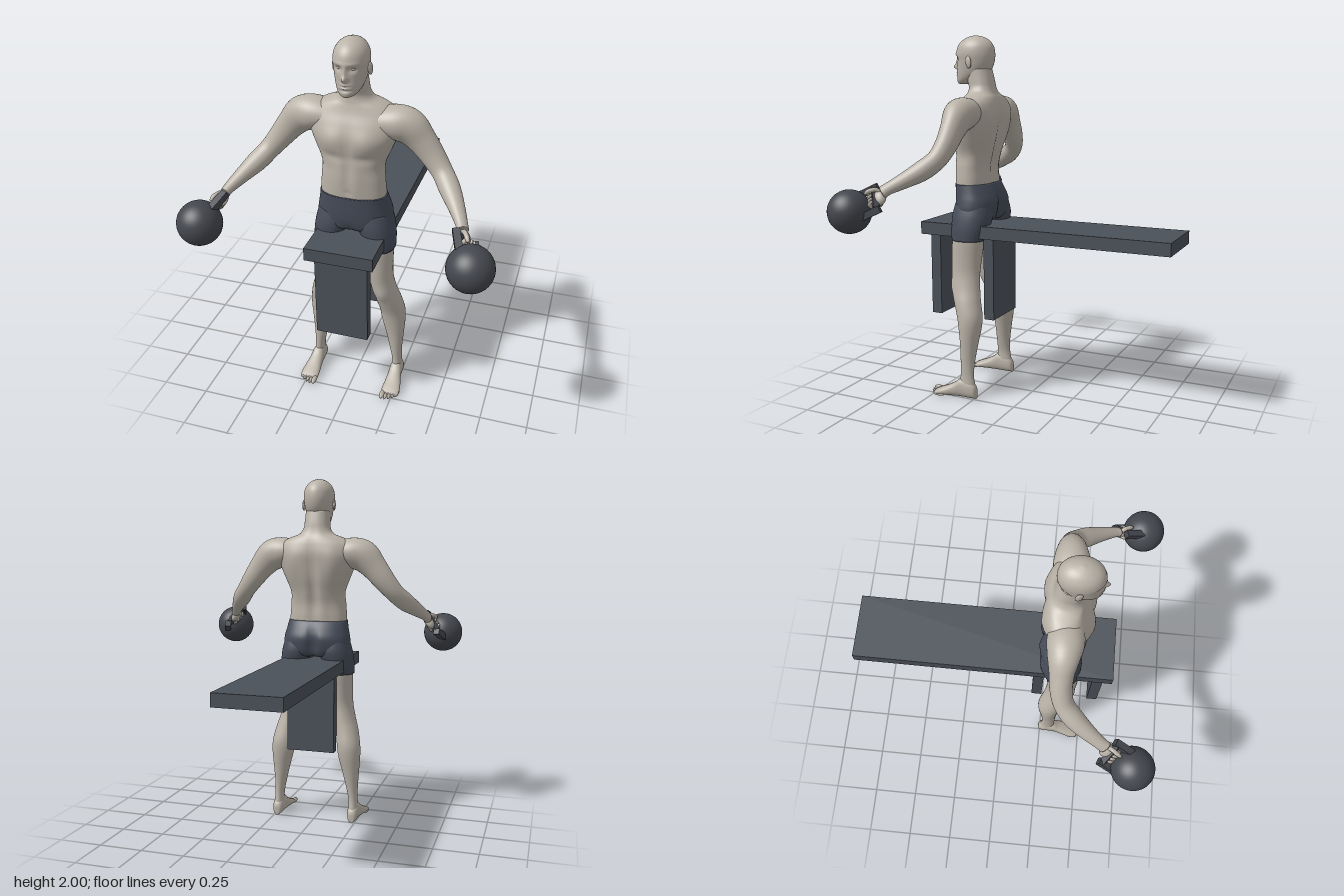
import * as THREE from 'three';

const mat = (name, color) => {
  const m = new THREE.MeshStandardMaterial({ color });
  m.name = name;
  return m;
};
const V = (x, y, z) => new THREE.Vector3(x, y, z);
const bump = (d, s) => Math.exp(-(d * d) / (s * s));

// Catmull-Rom interpolation of whole rows of numbers
function refine(rows, steps) {
  const out = [], last = rows.length - 1;
  for (let i = 0; i < last; i++) {
    const a = rows[Math.max(i - 1, 0)], b = rows[i], c = rows[i + 1], d = rows[Math.min(i + 2, last)];
    for (let s = 0; s < steps; s++) {
      const t = s / steps;
      out.push(b.map((_, k) => b[k] + 0.5 * t * (c[k] - a[k] + t * (2 * a[k] - 5 * b[k] + 4 * c[k] - d[k]
        + t * (3 * (b[k] - c[k]) + d[k] - a[k])))));
    }
  }
  out.push(rows[last]);
  return out;
}

// Closed skin over rings [x, y, z, radiusU, radiusV]; without axes the rings follow the path
function loft(rows, { axes, n = 32, steps = 5, power = 2, deform } = {}) {
  const rings = refine(rows, steps), pos = [], idx = [];
  const centres = rings.map(r => V(r[0], r[1], r[2]));
  const curve = (c, e) => Math.sign(c) * Math.pow(Math.abs(c), e);
  rings.forEach((r, i) => {
    let [u, v] = axes || [];
    if (!axes) {
      const t = centres[Math.min(i + 1, centres.length - 1)].clone().sub(centres[Math.max(i - 1, 0)]).normalize();
      u = V(0, 0, 1).cross(t).normalize();
      v = t.clone().cross(u);
    }
    for (let j = 0; j < n; j++) {
      const a = (j / n) * Math.PI * 2;
      const p = centres[i].clone()
        .addScaledVector(u, r[3] * curve(Math.cos(a), 2 / power))
        .addScaledVector(v, r[4] * curve(Math.sin(a), 2 / power));
      if (deform) deform(p, centres[i]);
      pos.push(p.x, p.y, p.z);
    }
  });
  for (let i = 0; i < rings.length - 1; i++) for (let j = 0; j < n; j++) {
    const a = i * n + j, b = i * n + (j + 1) % n;
    idx.push(a, b, a + n, b, b + n, a + n);
  }
  const end = (rings.length - 1) * n, first = rings.length * n;
  pos.push(...centres[0].toArray(), ...centres[centres.length - 1].toArray());
  for (let j = 0; j < n; j++) {
    const k = (j + 1) % n;
    idx.push(first, k, j, first + 1, end + j, end + k);
  }
  const g = new THREE.BufferGeometry();
  g.setAttribute('position', new THREE.Float32BufferAttribute(pos, 3));
  g.setIndex(idx);
  g.computeVertexNormals();
  return g;
}

const UP = [V(1, 0, 0), V(0, 0, -1)];
const FORWARD = [V(1, 0, 0), V(0, 1, 0)];
// Horizontal sections: y, half width (or inner and outer x), front z, back z
const mid = ([y, w, f, b]) => [0, y, (f + b) / 2, w, (f - b) / 2];
const side = ([y, i, o, f, b]) => [(i + o) / 2, y, (f + b) / 2, (o - i) / 2, (f - b) / 2];

const ball = (p, sx, sy, sz, n = 16) => new THREE.SphereGeometry(1, n, Math.ceil(n * 0.7)).scale(sx, sy, sz).translate(p.x, p.y, p.z);
const bar = (p, q, w) => new THREE.BoxGeometry(w, w, p.distanceTo(q))
  .applyQuaternion(new THREE.Quaternion().setFromUnitVectors(V(0, 0, 1), q.clone().sub(p).normalize()))
  .translate((p.x + q.x) / 2, (p.y + q.y) / 2, (p.z + q.z) / 2);
const box = (x0, x1, y0, y1, z0, z1) => new THREE.BoxGeometry(x1 - x0, y1 - y0, z1 - z0)
  .translate((x0 + x1) / 2, (y0 + y1) / 2, (z0 + z1) / 2);

function mirrored(g) {
  const m = g.clone().scale(-1, 1, 1), a = m.index.array;
  for (let i = 0; i < a.length; i += 3) [a[i], a[i + 1]] = [a[i + 1], a[i]];
  return m;
}

export function createModel() {
  const model = new THREE.Group();
  model.name = 'seatedLifter';
  const skin = mat('skin', 0xbab3a8), cloth = mat('shortsCloth', 0x464c59);
  const bench = mat('benchPaint', 0x4b5159), iron = mat('iron', 0x44474e);
  const add = (name, g, m) => {
    const mesh = new THREE.Mesh(g, m);
    mesh.name = name;
    model.add(mesh);
  };
  const pair = (name, g, m) => {
    add(name + 'Left', g, m);
    add(name + 'Right', mirrored(g), m);
  };

  // Bench
  add('benchTop', box(-0.18, 0.18, 0.905, 0.975, -0.83, 0.61), bench);
  add('benchFrontLeg', box(-0.14, 0.14, 0.44, 0.905, 0.51, 0.57), bench);
  add('benchBackLeg', box(-0.14, 0.14, 0.44, 0.905, 0.175, 0.235), bench);

  // Torso and neck, with chest, belly line, shoulder blades and spine
  add('torso', loft([
    [1.16, 0.170, 0.432, 0.245], [1.22, 0.168, 0.436, 0.244], [1.29, 0.163, 0.438, 0.243], [1.36, 0.160, 0.438, 0.225],
    [1.44, 0.190, 0.440, 0.203], [1.52, 0.222, 0.438, 0.193], [1.58, 0.232, 0.422, 0.188], [1.63, 0.215, 0.398, 0.196],
    [1.665, 0.165, 0.385, 0.208], [1.69, 0.102, 0.378, 0.222], [1.72, 0.078, 0.375, 0.232],
    [1.76, 0.072, 0.385, 0.240], [1.82, 0.068, 0.390, 0.255],
  ].map(mid), {
    axes: UP, n: 72, steps: 6, power: 2.3, deform: (p, c) => {
      const x = Math.abs(p.x), y = p.y;
      if (p.z > c.z + 0.02) {
        p.z += 0.018 * bump(x - 0.085, 0.07) * bump(y - 1.5, 0.06);
        p.z -= 0.007 * bump(x, 0.016) * bump(y - 1.4, 0.17);
        p.z -= 0.008 * bump(y - 1.415, 0.022) * bump(x - 0.08, 0.07);
        p.z += 0.005 * bump(x - 0.045, 0.03) * bump(y - 1.3, 0.08);
        p.z -= 0.006 * bump(x, 0.009) * bump(y - 1.225, 0.011);
      } else if (p.z < c.z - 0.02) {
        p.z += 0.018 * bump(x, 0.026) * bump(y - 1.42, 0.2);
        p.z -= 0.012 * bump(x - 0.11, 0.05) * bump(y - 1.53, 0.08);
        p.z -= 0.006 * bump(x - 0.05, 0.03) * bump(y - 1.27, 0.1);
      }
    },
  }), skin);

  // Head with sculpted face
  add('head', loft([
    [1.737, 0.022, 0.447, 0.385], [1.745, 0.038, 0.454, 0.36], [1.762, 0.054, 0.458, 0.32], [1.79, 0.068, 0.457, 0.275],
    [1.825, 0.077, 0.455, 0.25], [1.86, 0.083, 0.455, 0.237], [1.90, 0.087, 0.458, 0.233], [1.94, 0.081, 0.448, 0.240],
    [1.97, 0.063, 0.425, 0.261], [1.99, 0.037, 0.39, 0.294], [2.0, 0.006, 0.352, 0.338],
  ].map(mid), {
    axes: UP, n: 96, steps: 8, deform: (p, c) => {
      if (p.z < c.z + 0.03) return;
      const x = Math.abs(p.x), y = p.y;
      p.z += 0.026 * bump(x, 0.014) * bump(y - 1.832, 0.016) + 0.012 * bump(x, 0.011) * bump(y - 1.86, 0.025);
      p.z -= 0.013 * bump(x - 0.034, 0.02) * bump(y - 1.876, 0.014);
      p.z += 0.004 * bump(x - 0.034, 0.03) * bump(y - 1.9, 0.009);
      p.z += 0.007 * bump(x, 0.022) * (bump(y - 1.802, 0.006) + bump(y - 1.786, 0.007));
      p.z -= 0.004 * bump(x, 0.024) * bump(y - 1.794, 0.003);
      p.z -= 0.006 * bump(x, 0.03) * bump(y - 1.773, 0.007);
    },
  }), skin);
  pair('eye', ball(V(0.033, 1.876, 0.428), 0.014, 0.008, 0.01), skin);
  pair('ear', ball(V(0, 0, 0), 0.009, 0.033, 0.019).rotateX(0.15).rotateY(-0.25).translate(0.089, 1.855, 0.343), skin);

  // Shorts
  add('shortsSeat', loft([
    [0.99, 0.13, 0.405, 0.225], [1.01, 0.175, 0.424, 0.205], [1.05, 0.197, 0.432, 0.193], [1.10, 0.193, 0.436, 0.19],
    [1.15, 0.182, 0.437, 0.21], [1.195, 0.174, 0.438, 0.236],
  ].map(mid), {
    axes: UP, n: 64, power: 2.3, deform: (p, c) => {
      if (p.z < c.z) p.z += 0.03 * bump(p.x, 0.025) * bump(p.y - 1.05, 0.09);
      else p.z -= 0.012 * bump(p.x, 0.03) * bump(p.y - 1.0, 0.04);
    },
  }), cloth);
  pair('shortsLeg', loft([
    [0.887, 0.048, 0.218, 0.425, 0.236], [0.95, 0.036, 0.217, 0.429, 0.216],
    [1.02, 0.016, 0.207, 0.43, 0.202], [1.09, 0.02, 0.188, 0.415, 0.215],
  ].map(side), { axes: UP, n: 40, power: 2.2 }), cloth);

  // Legs
  pair('leg', loft([
    [0.03, 0.203, 0.261, 0.345, 0.25], [0.07, 0.202, 0.261, 0.345, 0.25], [0.13, 0.203, 0.256, 0.338, 0.259],
    [0.2, 0.19, 0.256, 0.339, 0.257], [0.3, 0.166, 0.263, 0.343, 0.243], [0.4, 0.14, 0.27, 0.354, 0.226],
    [0.47, 0.13, 0.267, 0.367, 0.223], [0.55, 0.115, 0.25, 0.395, 0.24], [0.62, 0.1, 0.228, 0.416, 0.253],
    [0.7, 0.085, 0.211, 0.425, 0.26], [0.78, 0.07, 0.208, 0.429, 0.253], [0.87, 0.056, 0.21, 0.427, 0.243],
    [0.94, 0.05, 0.208, 0.422, 0.238],
  ].map(side), {
    axes: UP, deform: (p, c) => { if (p.z > c.z) p.z += 0.008 * bump(p.x - 0.17, 0.03) * bump(p.y - 0.62, 0.04); },
  }), skin);

  // Feet, rows of z, centre x, half width, height
  pair('foot', loft([
    [0.24, 0.232, 0.012, 0.05], [0.25, 0.232, 0.025, 0.075], [0.28, 0.232, 0.032, 0.1], [0.33, 0.232, 0.034, 0.11],
    [0.37, 0.234, 0.038, 0.082], [0.42, 0.237, 0.046, 0.055], [0.465, 0.238, 0.05, 0.036], [0.49, 0.238, 0.044, 0.024],
  ].map(([z, x, w, h]) => [x, h / 2 + 0.003, z, w, h / 2]), { axes: FORWARD, n: 28, power: 2.3 }), skin);
  for (let i = 0; i < 5; i++) {
    const r = i ? 0.0095 : 0.014;
    pair('toe' + (i + 1), ball(V(0.2 + i * 0.0195, r + 0.002, 0.497 - i * i * 0.0025), r, r, 0.034, 12), skin);
  }

  // Arms from chest to wrist
  pair('arm', loft([
    [0.13, 1.585, 0.31, 0.07, 0.085], [0.21, 1.585, 0.31, 0.086, 0.092], [0.275, 1.565, 0.307, 0.09, 0.08],
    [0.335, 1.505, 0.306, 0.074, 0.063], [0.395, 1.43, 0.312, 0.062, 0.056], [0.45, 1.362, 0.335, 0.053, 0.052],
    [0.5, 1.308, 0.39, 0.052, 0.053], [0.55, 1.26, 0.465, 0.04, 0.043], [0.59, 1.22, 0.535, 0.029, 0.034],
    [0.605, 1.2, 0.565, 0.026, 0.036],
  ], { n: 36 }), skin);

  // Kettlebells: ball and square handle
  const centre = V(0.677, 1.1, 0.72), top = V(0.588, 1.215, 0.628), low = V(0.668, 1.115, 0.562);
  const along = low.clone().sub(top).normalize();
  const reach = centre.clone().sub(top.clone().lerp(low, 0.5)).normalize();
  const across = along.clone().cross(reach).normalize();
  pair('kettlebellBall', ball(centre, 0.114, 0.114, 0.114, 40), iron);
  pair('kettlebellGrip', bar(top, low, 0.03), iron);
  for (const [name, p] of [['Upper', top], ['Lower', low]])
    pair('kettlebell' + name + 'Arm', bar(p.clone().addScaledVector(reach, -0.022), p.clone().addScaledVector(reach, 0.09), 0.036), iron);

  // Hands closed around the grips
  const grip = top.clone().lerp(low, 0.48);
  const at = (t, r, s) => grip.clone().addScaledVector(along, t).addScaledVector(reach, r).addScaledVector(across, s);
  const tube = (points, r) => loft(points.map((p, i) => {
    const w = r * [0.9, 1, 1, 0.95, 0.55][i];
    return [...p.toArray(), w, w];
  }), { n: 10, steps: 4 });
  const turn = new THREE.Quaternion().setFromRotationMatrix(new THREE.Matrix4().makeBasis(along, reach, across));
  const palm = at(0, -0.024, 0.006);
  pair('palm', ball(V(0, 0, 0), 0.044, 0.034, 0.024, 20).applyQuaternion(turn).translate(palm.x, palm.y, palm.z), skin);
  for (let i = 0; i < 4; i++) {
    const t = -0.032 + i * 0.021;
    pair('finger' + (i + 1), tube([at(t, -0.025, 0.02), at(t, 0.004, 0.026), at(t, 0.026, 0.012), at(t, 0.026, -0.014), at(t, 0.006, -0.028)], 0.0115), skin);
  }
  pair('thumb', tube([at(-0.02, -0.035, 0), at(-0.035, -0.02, -0.02), at(-0.038, 0.005, -0.03), at(-0.036, 0.025, -0.032), at(-0.034, 0.042, -0.03)], 0.012), skin);

  return model;
}
